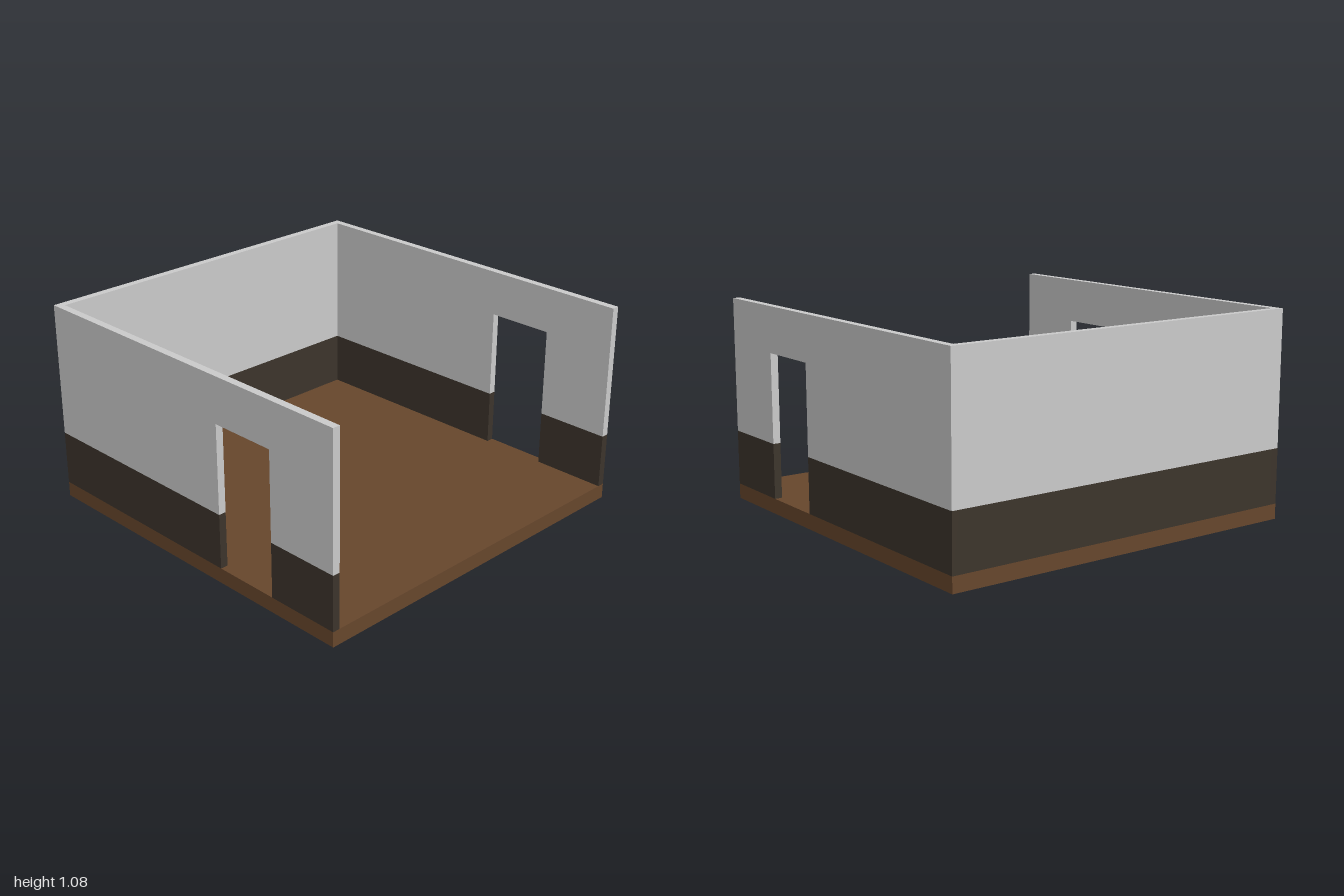
import * as THREE from 'three';

const FLOOR = 0.08, RAIL = 0.37, TOP = 1.08, T = 0.04;
const DOOR = { back: 0.24, front: 0.6, top: 0.84 };

export function createModel() {
  const plaster = new THREE.MeshStandardMaterial({ color: 0xcacaca });
  plaster.name = 'light grey plaster';
  const panel = new THREE.MeshStandardMaterial({ color: 0x3c342b });
  panel.name = 'dark wainscot';
  const wood = new THREE.MeshStandardMaterial({ color: 0x66462c });
  wood.name = 'brown floor';

  const room = new THREE.Group();
  room.name = 'room';

  const add = (name, geometry, material, x = 0, y = 0, z = 0) => {
    const mesh = new THREE.Mesh(geometry, material);
    mesh.name = name;
    mesh.position.set(x, y, z);
    room.add(mesh);
  };

  // Side wall outline drawn in (z, y), thickened from x = -T to x = 0
  const sidePiece = (points) => {
    const shape = new THREE.Shape(points.map(([z, y]) => new THREE.Vector2(z, y)));
    return new THREE.ExtrudeGeometry(shape, { depth: T, bevelEnabled: false }).rotateY(-Math.PI / 2);
  };
  const rect = (z0, z1, y0, y1) => [[z0, y0], [z1, y0], [z1, y1], [z0, y1]];

  // Floor slab
  add('floor', new THREE.BoxGeometry(2, FLOOR, 2), wood, 0, FLOOR / 2, 0);

  // Back wall, fitted between the side walls
  for (const [name, y0, y1, mat] of [
    ['backWainscot', FLOOR, RAIL, panel],
    ['backWallUpper', RAIL, TOP, plaster],
  ]) {
    add(name, new THREE.BoxGeometry(2 - 2 * T, y1 - y0, T), mat, 0, (y0 + y1) / 2, -1 + T / 2);
  }

  // Side walls, each with an open doorway
  for (const [side, x] of [['left', 1], ['right', -1 + T]]) {
    add(`${side}WainscotBack`, sidePiece(rect(-1, DOOR.back, FLOOR, RAIL)), panel, x);
    add(`${side}WainscotFront`, sidePiece(rect(DOOR.front, 1, FLOOR, RAIL)), panel, x);
    add(`${side}WallUpper`, sidePiece([
      [-1, RAIL], [DOOR.back, RAIL], [DOOR.back, DOOR.top], [DOOR.front, DOOR.top],
      [DOOR.front, RAIL], [1, RAIL], [1, TOP], [-1, TOP],
    ]), plaster, x);
  }

  return room;
}
